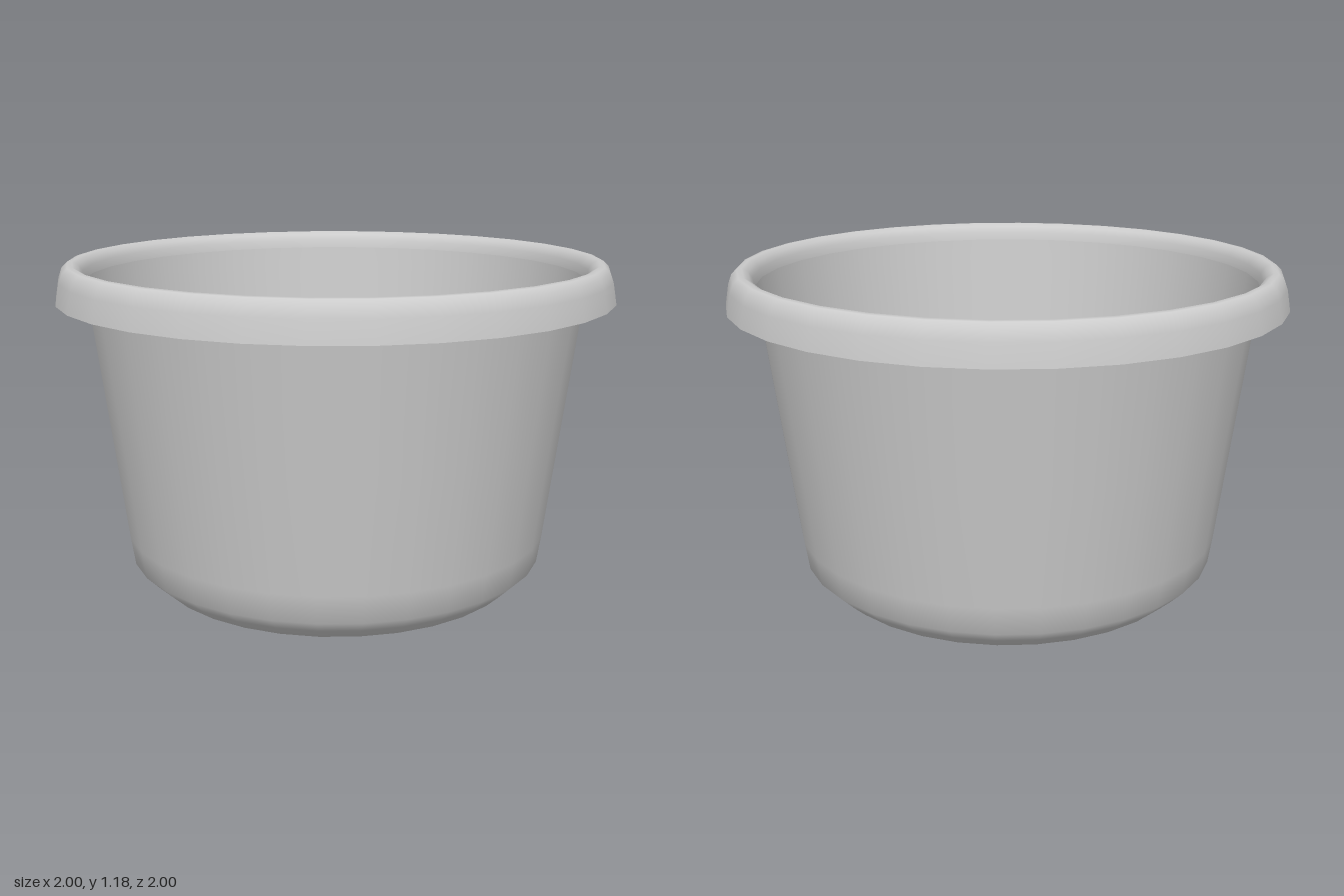
import * as THREE from 'three';

const SEGMENTS = 32;

export function createModel() {
  const group = new THREE.Group();
  group.name = 'tub';
  const material = new THREE.MeshStandardMaterial({ color: 0xcccccc, side: THREE.DoubleSide });

  // Revolve a [radius, height] profile around the y axis
  const revolve = (name, profile) => {
    const points = profile.map(([r, y]) => new THREE.Vector2(r, y));
    const mesh = new THREE.Mesh(new THREE.LatheGeometry(points, SEGMENTS), material);
    mesh.name = name;
    group.add(mesh);
  };

  // Flat floor, bevelled foot and flared thin wall
  revolve('bowl', [
    [0, 0], [0.655, 0], [0.675, 0.004], [0.72, 0.045], [0.765, 0.09],
    [0.78, 0.19], [0.83, 0.59], [0.888, 1.05], [0.896, 1.115],
  ]);

  // Rolled lip, open underneath
  revolve('rim', [
    [0.896, 1.115], [0.902, 1.145], [0.916, 1.168], [0.937, 1.18],
    [0.955, 1.178], [0.974, 1.16], [0.987, 1.125], [1, 1.05],
  ]);

  return group;
}
